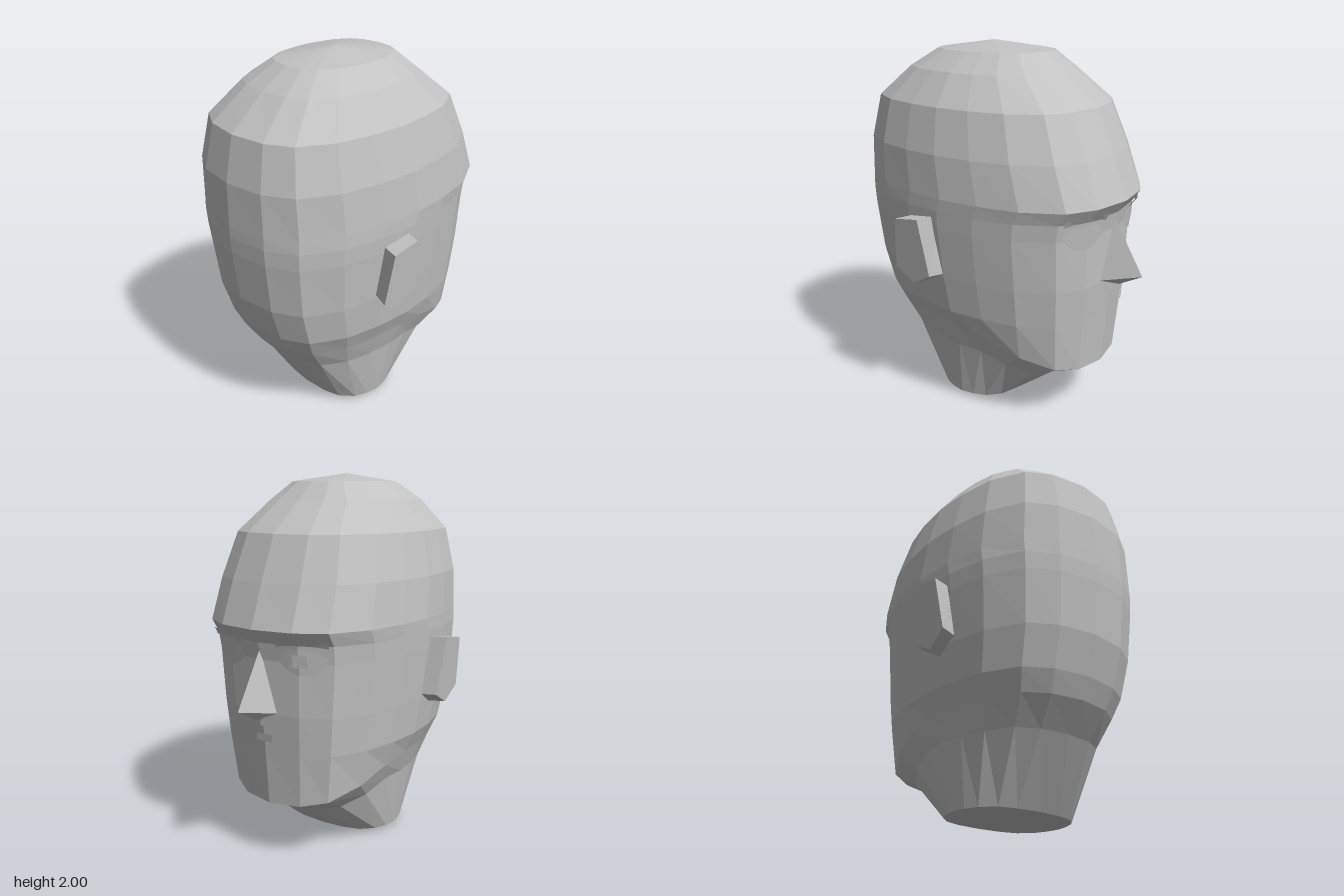
import * as THREE from 'three';

const skin = new THREE.MeshStandardMaterial({ color: 0xc2c2c2, flatShading: true });
skin.name = 'plain grey';
const thin = new THREE.MeshStandardMaterial({ color: 0xc2c2c2, flatShading: true, side: THREE.DoubleSide });
thin.name = 'plain grey thin';

// Head rings from crown to neck: back y, front y, half width, back z, front z
const RINGS = [
  [2.0, 2.0, 0, 0.12, 0.12],
  [1.955, 1.955, 0.24, 0.43, -0.21],
  [1.86, 1.86, 0.36, 0.58, -0.32],
  [1.7, 1.7, 0.48, 0.77, -0.525],
  [1.47, 1.47, 0.535, 0.82, -0.625],
  [1.25, 1.25, 0.55, 0.825, -0.71],
  [1.18, 1.18, 0.548, 0.825, -0.66],
  [1.09, 1.09, 0.542, 0.82, -0.645],
  [0.81, 0.81, 0.515, 0.79, -0.638],
  [0.61, 0.61, 0.49, 0.73, -0.62],
  [0.505, 0.315, 0.445, 0.68, -0.597],
  [0.365, 0.235, 0.395, 0.57, -0.41],
  [0.03, 0.03, 0.34, 0.36, -0.13],
  [0.005, 0.005, 0, 0.1, 0.1],
];
// Quarter of the rounded cross-section, from the middle line to the side
const QX = [0, 0.4, 0.68, 0.88, 0.965, 1];
const QZ = [1, 0.955, 0.84, 0.58, 0.29, 0];
const lerp = THREE.MathUtils.lerp;

function build(name, points, index, material) {
  let g = new THREE.BufferGeometry();
  g.setAttribute('position', new THREE.Float32BufferAttribute(points.flat(), 3));
  g.setIndex(index);
  g = g.toNonIndexed();
  g.computeVertexNormals();
  const mesh = new THREE.Mesh(g, material);
  mesh.name = name;
  return mesh;
}

// Skull, jaw and neck lofted through the rings
function makeHead() {
  const N = 20, points = [], index = [];
  for (const [yb, yf, w, zb, zf] of RINGS) {
    const mid = (zb + zf) / 2, r = (zb - zf) / 2;
    for (let j = 0; j < N; j++) {
      const h = j <= 10 ? j : N - j;
      const k = h <= 5 ? h : 10 - h;
      const x = w * QX[k] * (j <= 10 ? 1 : -1);
      const z = mid + r * QZ[k] * (h <= 5 ? 1 : -1);
      const t = yb === yf ? 0 : THREE.MathUtils.clamp((-0.05 - z) / (-0.05 - zf), 0, 1);
      points.push([x, lerp(yb, yf, t), z]);
    }
  }
  for (let i = 0; i < RINGS.length - 1; i++) {
    for (let j = 0; j < N; j++) {
      const a = i * N + j, a1 = i * N + (j + 1) % N, b = a + N, b1 = a1 + N;
      if (RINGS[i + 1][2] > 0) index.push(a, b, b1);
      else index.push(a, b, a1);
      if (RINGS[i][2] > 0 && RINGS[i + 1][2] > 0) index.push(a, b1, a1);
    }
  }
  return build('head', points, index, skin);
}

// Depth of the face surface at x, y
function faceZ(x, y) {
  let i = 1;
  while (RINGS[i + 1][1] > y) i++;
  const A = RINGS[i], B = RINGS[i + 1], t = (A[1] - y) / (A[1] - B[1]);
  const [w, zb, zf] = [2, 3, 4].map((n) => lerp(A[n], B[n], t));
  const u = Math.min(Math.abs(x) / w, 0.999);
  let k = 0;
  while (QX[k + 1] < u) k++;
  const q = lerp(QZ[k], QZ[k + 1], (u - QX[k]) / (QX[k + 1] - QX[k]));
  return (zb + zf) / 2 - (zb - zf) / 2 * q;
}

// Thin strip hugging the face between an upper and a lower edge: [x, top, bottom]
function facePatch(name, columns, lift) {
  const points = [], index = [];
  columns.forEach(([x, top, bottom], i) => {
    for (const y of [top, bottom]) points.push([x, y, faceZ(x, y) - lift]);
    if (i) {
      const n = i * 2;
      index.push(n - 2, n, n - 1, n - 1, n, n + 1);
    }
  });
  return build(name, points, index, thin);
}

// Slanted five-sided ear, wider at the top
function makeEar(side) {
  const outline = [[0.27, 1.12], [0.11, 1.145], [0.07, 0.83], [0.19, 0.765], [0.305, 0.84]];
  const shape = new THREE.Shape(outline.map(([z, y]) => new THREE.Vector2(-side * z, y)));
  const g = new THREE.ExtrudeGeometry(shape, { depth: 1, bevelEnabled: false });
  const p = g.attributes.position;
  for (let i = 0; i < p.count; i++) {
    const out = p.getZ(i), y = p.getY(i), z = -side * p.getX(i);
    p.setXYZ(i, side * lerp(0.49, 0.583 + 0.11 * (y - 0.765), out), y, z + 0.04 * out);
  }
  g.computeVertexNormals();
  const ear = new THREE.Mesh(g, skin);
  ear.name = side > 0 ? 'leftEar' : 'rightEar';
  return ear;
}

// Pointed nose: bridge, tip, two nostril corners and the underside
function makeNose() {
  const points = [[0, 1.16, -0.64], [0, 0.86, -0.82], [0.085, 0.82, -0.62], [-0.085, 0.82, -0.62], [0, 0.79, -0.69]];
  return build('nose', points, [0, 2, 1, 0, 1, 3, 1, 2, 4, 1, 4, 3, 2, 3, 4], thin);
}

export function createModel() {
  const model = new THREE.Group();
  model.name = 'head bust';
  model.add(makeHead(), makeNose());

  for (const s of [1, -1]) {
    const m = (cols) => cols.map(([x, a, b]) => [s * x, a, b]);
    const label = s > 0 ? 'left' : 'right';
    model.add(
      makeEar(s),
      facePatch(label + 'Eye', m([[0.1, 1.11, 1.1], [0.16, 1.15, 1.05], [0.22, 1.165, 1.03], [0.29, 1.155, 1.04], [0.35, 1.12, 1.11]]), 0.006),
      facePatch(label + 'Pupil', m([[0.19, 1.135, 1.07], [0.26, 1.135, 1.07]]), 0.014),
      facePatch(label + 'Brow', m([[0.11, 1.21, 1.17], [0.16, 1.205, 1.18], [0.22, 1.205, 1.185], [0.3, 1.205, 1.18], [0.36, 1.21, 1.17]]), 0.016),
    );
  }

  // Downturned mouth with a crease at its right corner
  model.add(
    facePatch('upperLip', [[-0.2, 0.73, 0.71], [-0.1, 0.775, 0.75], [0, 0.785, 0.75], [0.1, 0.775, 0.75], [0.2, 0.73, 0.71]], 0.02),
    facePatch('lowerLip', [[-0.13, 0.685, 0.68], [-0.05, 0.7, 0.66], [0.05, 0.7, 0.66], [0.13, 0.685, 0.68]], 0.008),
    facePatch('mouthCrease', [[-0.19, 0.8, 0.62], [-0.17, 0.8, 0.62]], 0.01),
  );
  return model;
}
